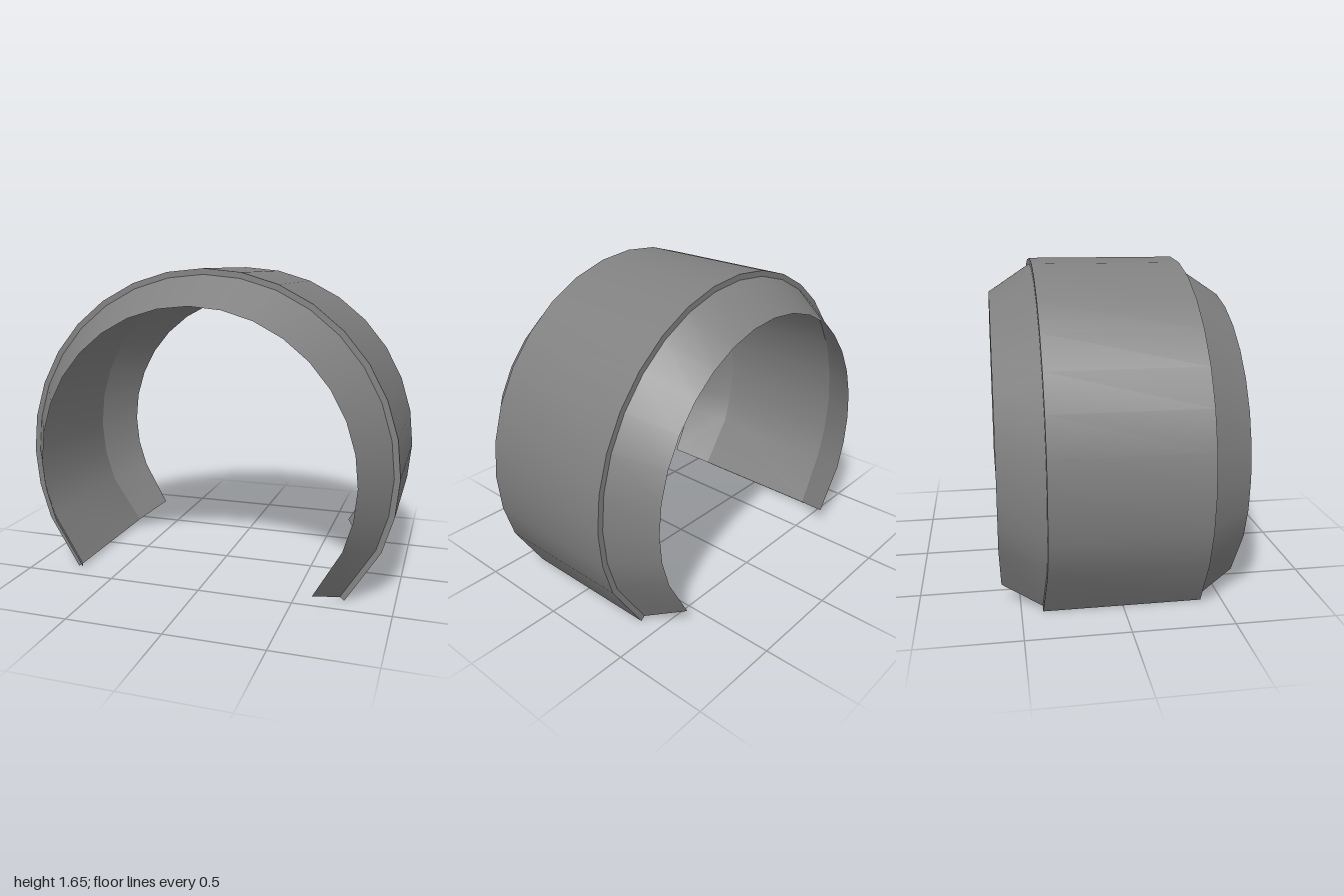
import * as THREE from 'three';

const CENTER_Y = 0.655;
const STEP = Math.PI / 16;
const LAST = 11; // stations run from -LAST to LAST, 0 at the crown

// Curves running along the arch: radius, half width, and the trimmed foot point
const OUTER = { r: 1.0, z: 0.383, foot: [0.75, 0, 0.395] };
const INNER = { r: 0.97, z: 0.383, foot: [0.727, 0.018, 0.395] };
const LIP = { r: 0.825, z: 0.602, foot: [0.62, 0.092, 0.592] };

function pointOn(curve, i, side) {
  if (Math.abs(i) === LAST) {
    const [x, y, z] = curve.foot;
    return [Math.sign(i) * x, y, side * z];
  }
  const a = i * STEP;
  return [curve.r * Math.sin(a), CENTER_Y + curve.r * Math.cos(a), side * curve.z];
}

// Strip of quads between two curves, smooth along the arch
function strip(name, a, sideA, b, sideB, material) {
  const pos = [], index = [];
  for (let i = -LAST; i <= LAST; i++) {
    pos.push(...pointOn(a, i, sideA), ...pointOn(b, i, sideB));
    if (i < LAST) {
      const k = (i + LAST) * 2;
      index.push(k, k + 1, k + 2, k + 1, k + 3, k + 2);
    }
  }
  return build(name, pos, index, material);
}

function build(name, pos, index, material) {
  const g = new THREE.BufferGeometry();
  g.setAttribute('position', new THREE.Float32BufferAttribute(pos, 3));
  g.setIndex(index);
  g.computeVertexNormals();
  const mesh = new THREE.Mesh(g, material);
  mesh.name = name;
  return mesh;
}

export function createModel() {
  const group = new THREE.Group();
  group.name = 'archCover';
  const grey = new THREE.MeshStandardMaterial({ color: 0x808080, side: THREE.DoubleSide });
  grey.name = 'grey';

  // Wide curved band with a slight thickness
  group.add(strip('bandOuter', OUTER, -1, OUTER, 1, grey));
  group.add(strip('bandInner', INNER, 1, INNER, -1, grey));

  // Rim of the band and the sloping flange, front and back
  for (const s of [1, -1]) {
    const label = s > 0 ? 'front' : 'back';
    const pair = (n, a, b) => s > 0
      ? strip(label + n, a, s, b, s, grey)
      : strip(label + n, b, s, a, s, grey);
    group.add(pair('Rim', OUTER, INNER));
    group.add(pair('Flange', INNER, LIP));
  }

  // Thin faces closing the feet of the band
  for (const s of [1, -1]) {
    const i = s * LAST;
    const pos = [
      ...pointOn(OUTER, i, -1), ...pointOn(OUTER, i, 1),
      ...pointOn(INNER, i, 1), ...pointOn(INNER, i, -1),
    ];
    const index = s > 0 ? [0, 1, 2, 0, 2, 3] : [0, 2, 1, 0, 3, 2];
    group.add(build(s > 0 ? 'leftFoot' : 'rightFoot', pos, index, grey));
  }
  return group;
}
